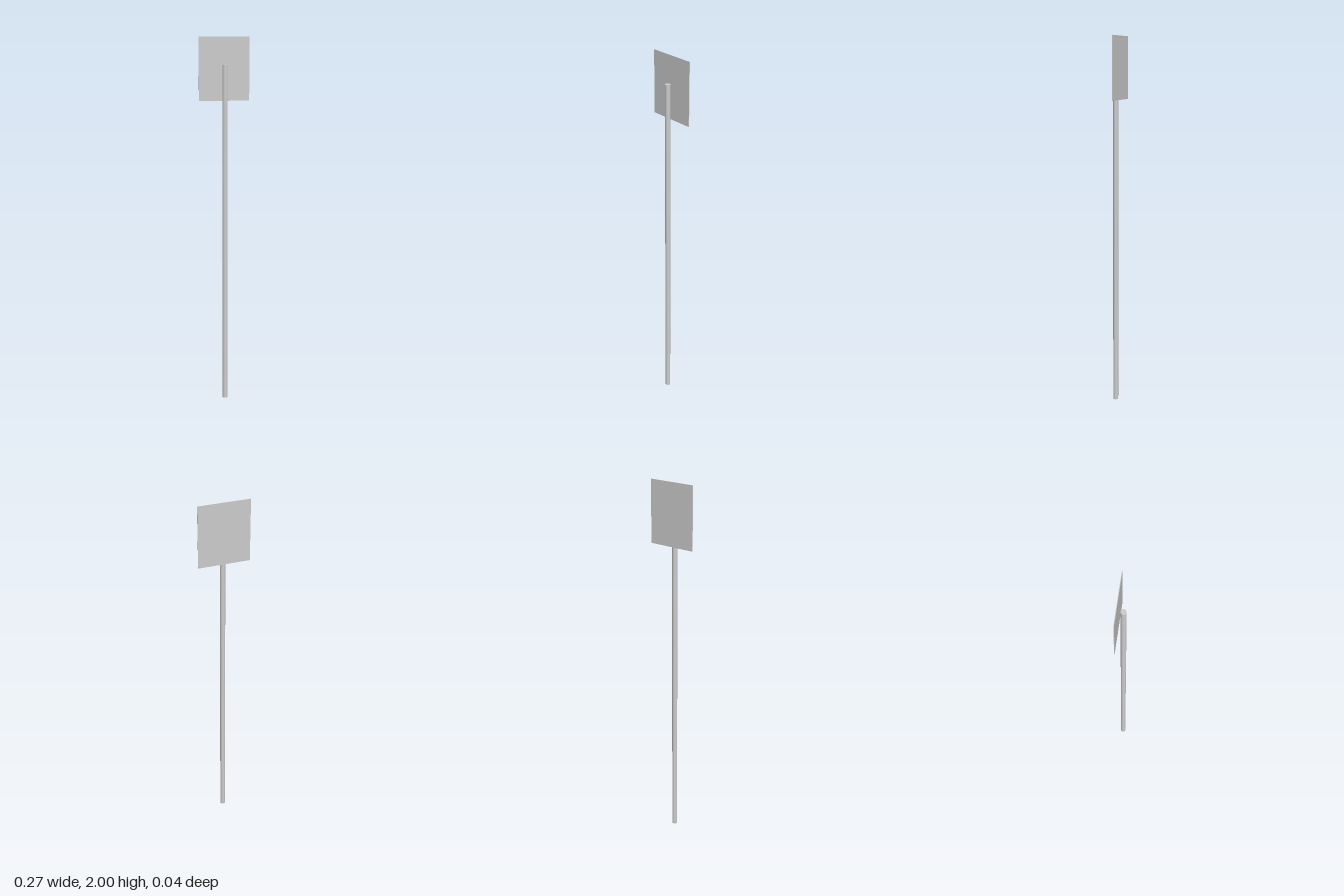
import * as THREE from 'three';

export function createModel() {
  const group = new THREE.Group();
  const material = new THREE.MeshStandardMaterial({ color: 0xcccccc });

  function addPart(name, geometry, y, z) {
    const mesh = new THREE.Mesh(geometry, material);
    mesh.name = name;
    mesh.position.set(0, y, z);
    group.add(mesh);
  }

  // Round post standing on the ground
  const postHeight = 1.858;
  addPart('post', new THREE.CylinderGeometry(0.014, 0.014, postHeight, 32), postHeight / 2, 0.0062);

  // Thin sign plate just behind the top of the post
  const plateHeight = 0.333;
  addPart('signPlate', new THREE.BoxGeometry(0.27, plateHeight, 0.003), 2 - plateHeight / 2, -0.0187);

  return group;
}
